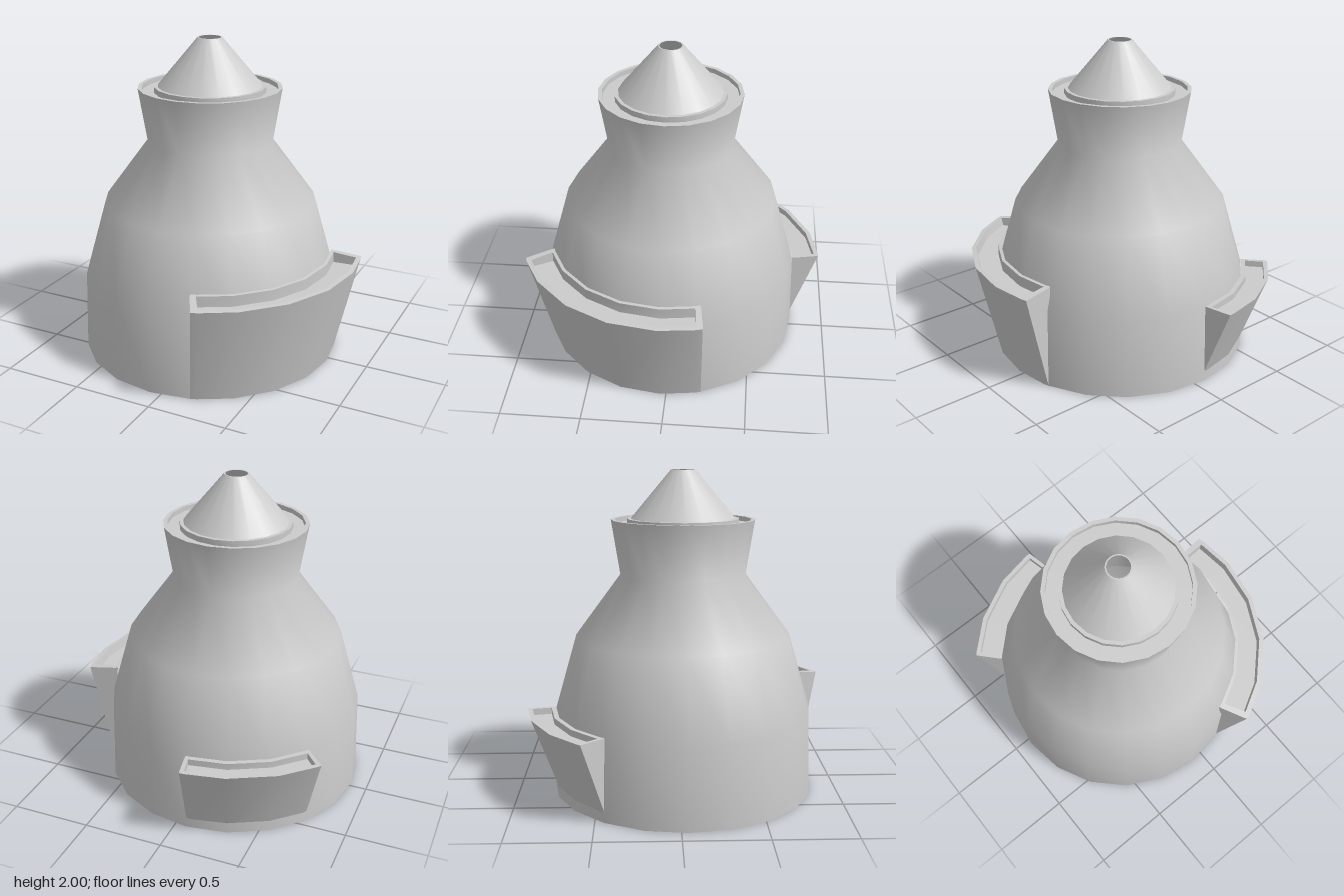
import * as THREE from 'three';
import { toCreasedNormals } from 'three/addons/utils/BufferGeometryUtils.js';

const SIDES = 20;
const STEP = 360 / SIDES;
const material = new THREE.MeshStandardMaterial({ color: 0xcccccc });

function addMesh(group, name, geometry, crease) {
  const mesh = new THREE.Mesh(toCreasedNormals(geometry, THREE.MathUtils.degToRad(crease)), material);
  mesh.name = name;
  group.add(mesh);
}

const turned = profile => new THREE.LatheGeometry(profile.map(([r, y]) => new THREE.Vector2(r, y)), SIDES);

// Curved wedge pocket on the wall, with a shallow tray in its top.
// Angles in degrees run from +x towards +z.
function pocketGeometry({ start, end, bottom, outer, tray, back, depth, lean, wall }) {
  const [rBottom, yBottom] = bottom, [rOut, yOut] = outer, [rBack, yBack] = back;
  const rimY = r => yBack + (yOut - yBack) * (r - rBack) / (rOut - rBack);
  const floorY = yOut - depth;

  // One cross-section: wedge face, outer lip, tray, inner lip
  const section = (angle, inset, sunk) => {
    const [rIn, rLip] = tray;
    const y = r => (sunk ? floorY : rimY(r));
    const rFloor = sunk ? rLip - lean : rLip;
    return [
      [rBottom, yBottom], [rOut, yOut], [rLip, rimY(rLip)], [rFloor, y(rFloor)],
      [rIn, y(rIn)], [rIn, rimY(rIn)], [rBack, yBack],
    ].map(([r, h]) => {
      const a = THREE.MathUtils.degToRad(angle + inset * Math.max(0, r - rBottom) / (rOut - rBottom));
      return [r * Math.cos(a), h, r * Math.sin(a)];
    });
  };

  // Solid end walls, then the hollow run between them
  const taper = 2;
  const sections = [section(start, taper, false), section(start + wall, taper, false), section(start + wall, taper, true)];
  for (let a = start + STEP; a < end - 1; a += STEP) sections.push(section(a, 0, true));
  sections.push(section(end - wall, -taper, true), section(end - wall, -taper, false), section(end, -taper, false));

  const positions = [];
  const tri = (...corners) => corners.forEach(c => positions.push(...c));
  for (let i = 0; i < sections.length - 1; i++) {
    const p = sections[i], q = sections[i + 1];
    for (let j = 0; j < p.length - 1; j++) {
      tri(p[j], p[j + 1], q[j]);
      tri(q[j], p[j + 1], q[j + 1]);
    }
  }
  const first = sections[0], last = sections[sections.length - 1];
  tri(first[0], first[6], first[1]);
  tri(last[0], last[1], last[6]);

  const geometry = new THREE.BufferGeometry();
  geometry.setAttribute('position', new THREE.Float32BufferAttribute(positions, 3));
  return geometry;
}

export function createModel() {
  const model = new THREE.Group();
  model.name = 'vessel';

  // Domed outer wall with flared collar and flat base ring
  addMesh(model, 'outerWall', turned([
    [0.72, 0], [0.82, 0], [0.805, 0.51], [0.67, 0.98], [0.39, 1.36], [0.445, 1.70], [0.42, 1.70],
  ]), 70);

  // Sunken ring, raised seat and cone with open tip
  addMesh(model, 'nozzle', turned([
    [0.42, 1.70], [0.42, 1.67], [0.345, 1.67], [0.345, 1.705], [0.322, 1.705], [0.075, 2.0], [0.067, 2.0],
  ]), 32);

  // Inner wall from the tip down to the base ring
  addMesh(model, 'innerWall', turned([
    [0.067, 2.0], [0.29, 1.70], [0.33, 1.62], [0.29, 1.34], [0.575, 0.94], [0.705, 0.50], [0.72, 0],
  ]), 70);

  // Large pocket at the front left
  addMesh(model, 'frontPocket', pocketGeometry({
    start: -18, end: 72, bottom: [0.82, 0], outer: [0.967, 0.64],
    tray: [0.795, 0.938], back: [0.775, 0.66], depth: 0.05, lean: 0.01, wall: 2.6,
  }), 32);

  // Small pocket at the back right
  addMesh(model, 'backPocket', pocketGeometry({
    start: 216, end: 270, bottom: [0.815, 0.06], outer: [0.98, 0.51],
    tray: [0.835, 0.952], back: [0.805, 0.51], depth: 0.04, lean: 0, wall: 1.6,
  }), 32);

  model.children.forEach(part => part.position.set(-0.073, 0, 0.037));
  return model;
}
